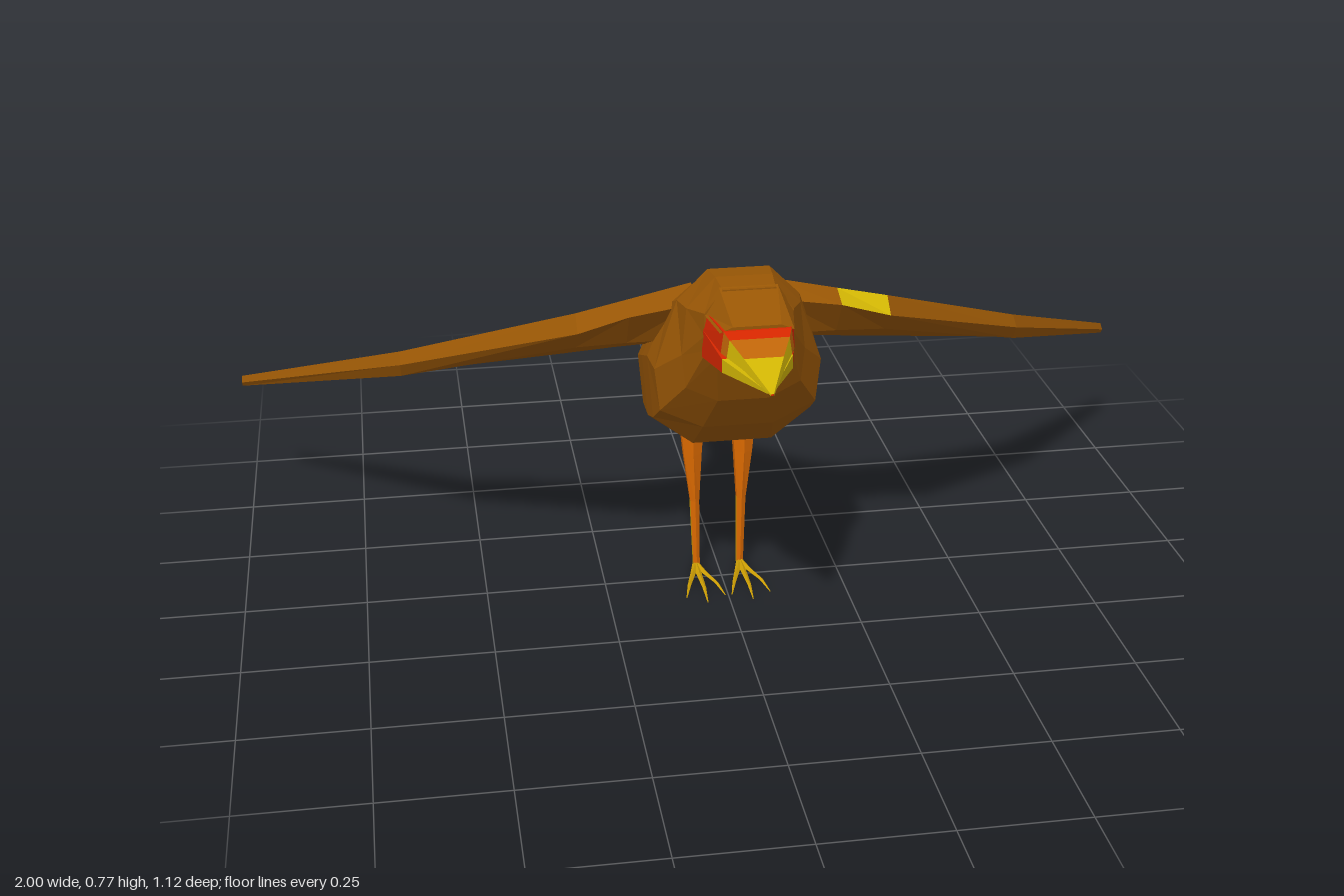
import * as THREE from 'three';

const material = (name, color) => {
  const m = new THREE.MeshStandardMaterial({ color, flatShading: true });
  m.name = name;
  return m;
};

// Closed faceted skin through rings of [x, y, z]; paint(segment, side) picks a material index.
function loft(name, rings, materials, paint = () => 0) {
  const n = rings[0].length;
  const faces = materials.map(() => []);
  const add = (k, a, b, c) => faces[k].push([a, b, c]);
  for (let i = 0; i < rings.length - 1; i++) {
    for (let j = 0; j < n; j++) {
      const k = (j + 1) % n, m = paint(i, j);
      add(m, rings[i][j], rings[i][k], rings[i + 1][k]);
      add(m, rings[i][j], rings[i + 1][k], rings[i + 1][j]);
    }
  }
  // end caps as fans
  [rings[0], rings[rings.length - 1]].forEach((ring, end) => {
    const mid = [0, 1, 2].map((a) => ring.reduce((s, p) => s + p[a], 0) / n);
    for (let j = 0; j < n; j++) {
      const a = ring[j], b = ring[(j + 1) % n];
      if (end) add(0, mid, a, b);
      else add(0, mid, b, a);
    }
  });
  // signed volume tells whether the skin is inside out
  const v = (p) => new THREE.Vector3(...p);
  const volume = faces.flat().reduce((s, [a, b, c]) => s + v(a).dot(v(b).cross(v(c))), 0);
  const geometry = new THREE.BufferGeometry();
  const positions = [];
  faces.forEach((list, m) => {
    geometry.addGroup(positions.length / 3, list.length * 3, m);
    list.forEach(([a, b, c]) => positions.push(...a, ...(volume < 0 ? c : b), ...(volume < 0 ? b : c)));
  });
  geometry.setAttribute('position', new THREE.Float32BufferAttribute(positions, 3));
  geometry.computeVertexNormals();
  const mesh = new THREE.Mesh(geometry, materials.length > 1 ? materials : materials[0]);
  mesh.name = name;
  return mesh;
}

// Mirrors a half outline of [x, y] into a full ring at z.
const mirrorRing = (half, z) => [
  ...half.map(([x, y]) => [x, y, z]),
  ...half.slice().reverse().map(([x, y]) => [-x, y, z]),
];

// Beak or forehead section: z, half width, top, bottom, and width share of the upper edge.
// Sides of the ring: 0 left, 1 bottom, 2 right, 3 top.
const beakRing = ([z, w, top, bottom], share) => mirrorRing([[w * share, top], [w, bottom]], z);

export function createModel() {
  const bird = new THREE.Group();
  bird.name = 'bird';
  const brown = material('brown feathers', 0x985605);
  const red = material('red face', 0xd42600);
  const orange = material('orange skin', 0xdc6a00);
  const amber = material('amber ridge', 0xbe6408);
  const yellow = material('yellow beak', 0xd0b404);
  const gold = material('golden shin', 0xd2a204);

  // Body: z, top, bottom, top width, upper width, upper y, middle width, middle y, belly width
  const sections = [
    [0.32, 0.77, 0.637, 0.05, 0.085, 0.725, 0.085, 0.68, 0.06],
    [0.26, 0.775, 0.52, 0.055, 0.11, 0.715, 0.12, 0.62, 0.05],
    [0.20, 0.77, 0.44, 0.06, 0.12, 0.71, 0.165, 0.57, 0.07],
    [0.13, 0.73, 0.375, 0.06, 0.125, 0.68, 0.17, 0.57, 0.08],
    [0.05, 0.67, 0.345, 0.06, 0.13, 0.64, 0.17, 0.54, 0.07],
    [-0.10, 0.575, 0.32, 0.06, 0.13, 0.55, 0.16, 0.48, 0.07],
    [-0.20, 0.50, 0.31, 0.05, 0.10, 0.48, 0.12, 0.44, 0.06],
    [-0.34, 0.405, 0.33, 0.025, 0.04, 0.395, 0.048, 0.37, 0.03],
    [-0.565, 0.285, 0.267, 0.012, 0.02, 0.28, 0.02, 0.275, 0.015],
  ];
  bird.add(loft('body', sections.map(([z, top, low, wt, wu, yu, wm, ym, wb]) =>
    mirrorRing([[wt, top], [wu, yu], [wm, ym], [wm * 0.94, ym + (low - ym) * 0.68], [wb, low]], z)), [brown]));
  bird.add(loft('forehead',
    [[0.31, 0.086, 0.772, 0.722], [0.405, 0.07, 0.728, 0.718]].map((s) => beakRing(s, 0.65)), [brown]));

  // Beak halves: red base, orange and amber band on the upper half, yellow tip
  const upper = [[0.31, 0.088, 0.725, 0.691], [0.41, 0.069, 0.722, 0.681], [0.43, 0.061, 0.713, 0.679],
    [0.475, 0.04, 0.693, 0.673], [0.56, 0.003, 0.657, 0.654]];
  const lower = [[0.31, 0.088, 0.691, 0.634], [0.41, 0.067, 0.669, 0.642], [0.54, 0.004, 0.653, 0.649]];
  // paint per segment: [top, sides and bottom]
  const bands = [[0, 0], [0, 1], [1, 2], [2, 2]];
  bird.add(loft('upperBeak', upper.map((s) => beakRing(s, 0.92)), [red, amber, yellow],
    (i, j) => bands[i][j === 3 ? 0 : 1]));
  bird.add(loft('lowerBeak', lower.map((s) => beakRing(s, 1)), [red, yellow], (i) => i));

  // Wing sections: x, then [y, z] of ridge, leading edge, underside and trailing edge
  const wing = [
    [0.08, [0.715, 0.12], [0.69, 0.175], [0.60, 0.13], [0.56, -0.12]],
    [0.21, [0.69, 0.13], [0.672, 0.18], [0.60, 0.13], [0.492, -0.12]],
    [0.31, [0.672, 0.14], [0.642, 0.175], [0.595, 0.125], [0.485, -0.12]],
    [0.65, [0.515, -0.11], [0.497, -0.08], [0.465, -0.10], [0.41, -0.25]],
    [1.0, [0.312, -0.53], [0.302, -0.515], [0.29, -0.525], [0.285, -0.56]],
  ];
  // Leg sections: y, x, z, half width, half depth
  const leg = [
    [0.36, 0.055, -0.057, 0.03, 0.03],
    [0.27, 0.054, -0.056, 0.022, 0.025],
    [0.16, 0.05, -0.053, 0.011, 0.016],
    [0.003, 0.047, -0.048, 0.008, 0.010],
  ];
  const toe = [[-0.05, 0.008, 0.007], [0, 0.006, 0.006], [0.07, 0.011, 0.004], [0.12, 0.003, 0.001]];

  for (const side of [1, -1]) {
    const label = side > 0 ? 'left' : 'right';
    // the left wing alone carries a yellow patch on its leading edge
    bird.add(loft(label + 'Wing',
      wing.map(([x, ...pts]) => pts.map(([y, z]) => [side * x, y, z])),
      side > 0 ? [brown, yellow] : [brown],
      (i, j) => (side > 0 && i === 1 && j === 0 ? 1 : 0)));

    const legRings = leg.map(([y, x, z, rx, rz]) => Array.from({ length: 6 }, (_, k) => {
      const a = (k / 6) * Math.PI * 2;
      return [side * x + Math.sin(a) * rx, y, z + Math.cos(a) * rz];
    }));
    bird.add(loft(label + 'Thigh', legRings.slice(0, 3), [orange]));
    // shin is orange along the front, golden on the sides and back
    bird.add(loft(label + 'Shin', legRings.slice(2), [gold, orange], (i, j) => (j % 5 === 0 ? 1 : 0)));

    // Three toes fanned forward
    for (const spread of [-1, 0, 1]) {
      bird.add(loft(label + 'Toe', toe.map(([z, y, r]) => {
        const x = side * 0.048 + spread * (z + 0.05) * 0.24;
        const zz = spread ? -0.05 + (z + 0.05) * 0.85 : z;
        return [[x, y + r, zz], [x + r, y, zz], [x, Math.max(0, y - r), zz], [x - r, y, zz]];
      }), [gold]));
    }
  }
  return bird;
}
